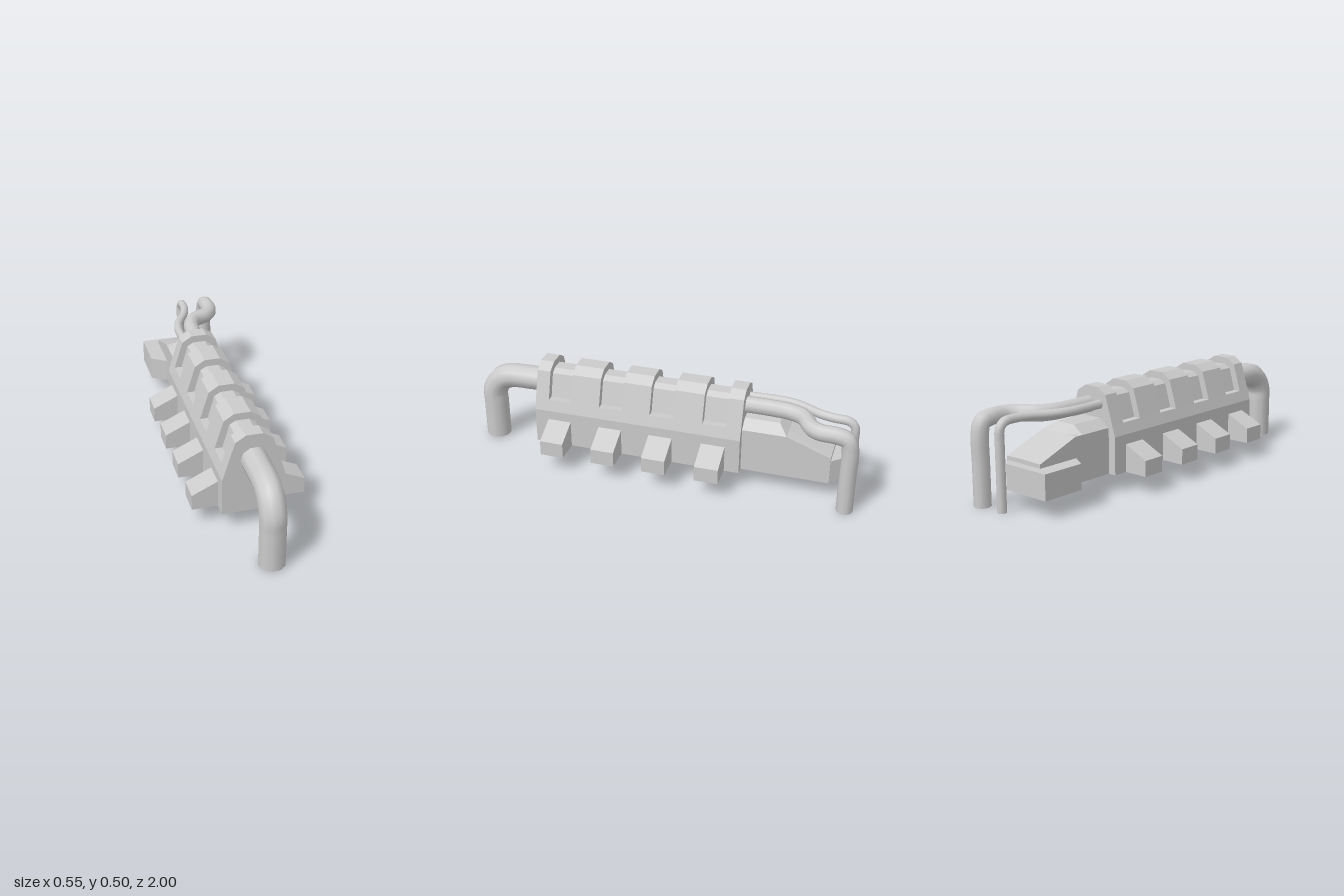
import * as THREE from 'three';

const flat = new THREE.MeshStandardMaterial({ color: 0xcccccc, flatShading: true, side: THREE.DoubleSide });
const smooth = new THREE.MeshStandardMaterial({ color: 0xcccccc, side: THREE.DoubleSide });

// Half outline (from the bottom up, +x side) turned into a full symmetric arch
const arch = (half) => [...half, ...half.map(([x, y]) => [-x, y]).reverse()];

// Skin stretched over [z, outline] stations, listed back to front, capped at both ends
function loft(stations) {
  const pos = [];
  const put = (z, p) => pos.push(p[0], p[1], z);
  for (let s = 0; s < stations.length - 1; s++) {
    const [z0, a] = stations[s];
    const [z1, b] = stations[s + 1];
    for (let i = 0; i < a.length - 1; i++) {
      put(z0, a[i]); put(z0, a[i + 1]); put(z1, b[i + 1]);
      put(z0, a[i]); put(z1, b[i + 1]); put(z1, b[i]);
    }
  }
  const cap = ([z, pts], flip) => {
    const outline = pts.map(([x, y]) => new THREE.Vector2(x, y));
    for (const t of THREE.ShapeUtils.triangulateShape(outline, [])) {
      for (const k of flip ? [2, 1, 0] : [0, 1, 2]) put(z, pts[t[k]]);
    }
  };
  cap(stations[0], true);
  cap(stations[stations.length - 1], false);
  const g = new THREE.BufferGeometry();
  g.setAttribute('position', new THREE.Float32BufferAttribute(pos, 3));
  g.computeVertexNormals();
  return g;
}

function add(group, name, geometry, material = flat) {
  const mesh = new THREE.Mesh(geometry, material);
  mesh.name = name;
  group.add(mesh);
}

function pipe(points, radius) {
  const curve = new THREE.CatmullRomCurve3(points.map((p) => new THREE.Vector3(...p)), false, 'centripetal');
  return new THREE.TubeGeometry(curve, 48, radius, 10);
}

export function createModel() {
  const group = new THREE.Group();
  const notches = [[-0.35, -0.23], [-0.08, 0.04], [0.185, 0.305], [0.455, 0.575]];

  // Arched housing with four notches cut over its top, open below
  const full = arch([[0.15, 0.09], [0.15, 0.275], [0.133, 0.33], [0.133, 0.33], [0.09, 0.47], [0.04, 0.502]]);
  const cut = arch([[0.15, 0.09], [0.15, 0.275], [0.133, 0.33], [0.096, 0.33], [0.062, 0.448], [0.032, 0.466]]);
  const stations = [[-0.425, full]];
  for (const [a, b] of notches) stations.push([a, full], [a, cut], [b, cut], [b, full]);
  stations.push([0.645, full]);
  add(group, 'housing', loft(stations));

  // Side feet below each notch
  for (const side of [-1, 1]) {
    const foot = [[0.148, 0.09], [0.148, 0.228], [0.275, 0.168], [0.275, 0.09]].map(([x, y]) => [x * side, y]);
    for (const [a, b] of notches) add(group, side > 0 ? 'leftFoot' : 'rightFoot', loft([[a, foot], [b, foot]]));
  }

  // Sloping tail cover
  const tail = (edgeY, topY) => arch([[0.11, 0.09], [0.11, edgeY], [0.055, topY]]);
  add(group, 'tailCover', loft([
    [-0.865, tail(0.233, 0.235)], [-0.645, tail(0.315, 0.32)],
    [-0.6, tail(0.315, 0.355)], [-0.425, tail(0.315, 0.355)],
  ]));

  // Low block wrapped around the end of the tail
  const plan = [[-0.19, 0.69], [-0.108, 0.64], [0.108, 0.64], [0.108, 0.86], [0.065, 0.912], [-0.19, 0.912]];
  const block = new THREE.ExtrudeGeometry(
    new THREE.Shape(plan.map(([x, y]) => new THREE.Vector2(x, y))), { depth: 0.123, bevelEnabled: false });
  block.rotateX(-Math.PI / 2).translate(0, 0.091, 0);
  add(group, 'tailBlock', block);

  // Pipes bending down to the ground
  add(group, 'frontPipe', pipe([
    [0, 0.372, 0.6], [0, 0.37, 0.72], [0, 0.363, 0.84], [0, 0.335, 0.895],
    [0, 0.27, 0.934], [0, 0.2, 0.936], [0, 0.005, 0.936],
  ], 0.064), smooth);
  add(group, 'rearPipe', pipe([
    [0.02, 0.412, -0.4], [0.022, 0.412, -0.55], [0.032, 0.412, -0.65], [0.065, 0.412, -0.715],
    [0.145, 0.41, -0.765], [0.175, 0.41, -0.81], [0.181, 0.408, -0.9], [0.181, 0.392, -0.945],
    [0.181, 0.34, -0.959], [0.181, 0.2, -0.959], [0.181, 0, -0.959],
  ], 0.041), smooth);
  add(group, 'thinRearPipe', pipe([
    [-0.05, 0.42, -0.4], [-0.05, 0.42, -0.6], [-0.035, 0.42, -0.67], [0.025, 0.42, -0.79],
    [0.043, 0.42, -0.86], [0.045, 0.415, -0.93], [0.045, 0.39, -0.957],
    [0.045, 0.33, -0.96], [0.045, 0.2, -0.96], [0.045, 0, -0.96],
  ], 0.022), smooth);

  return group;
}
